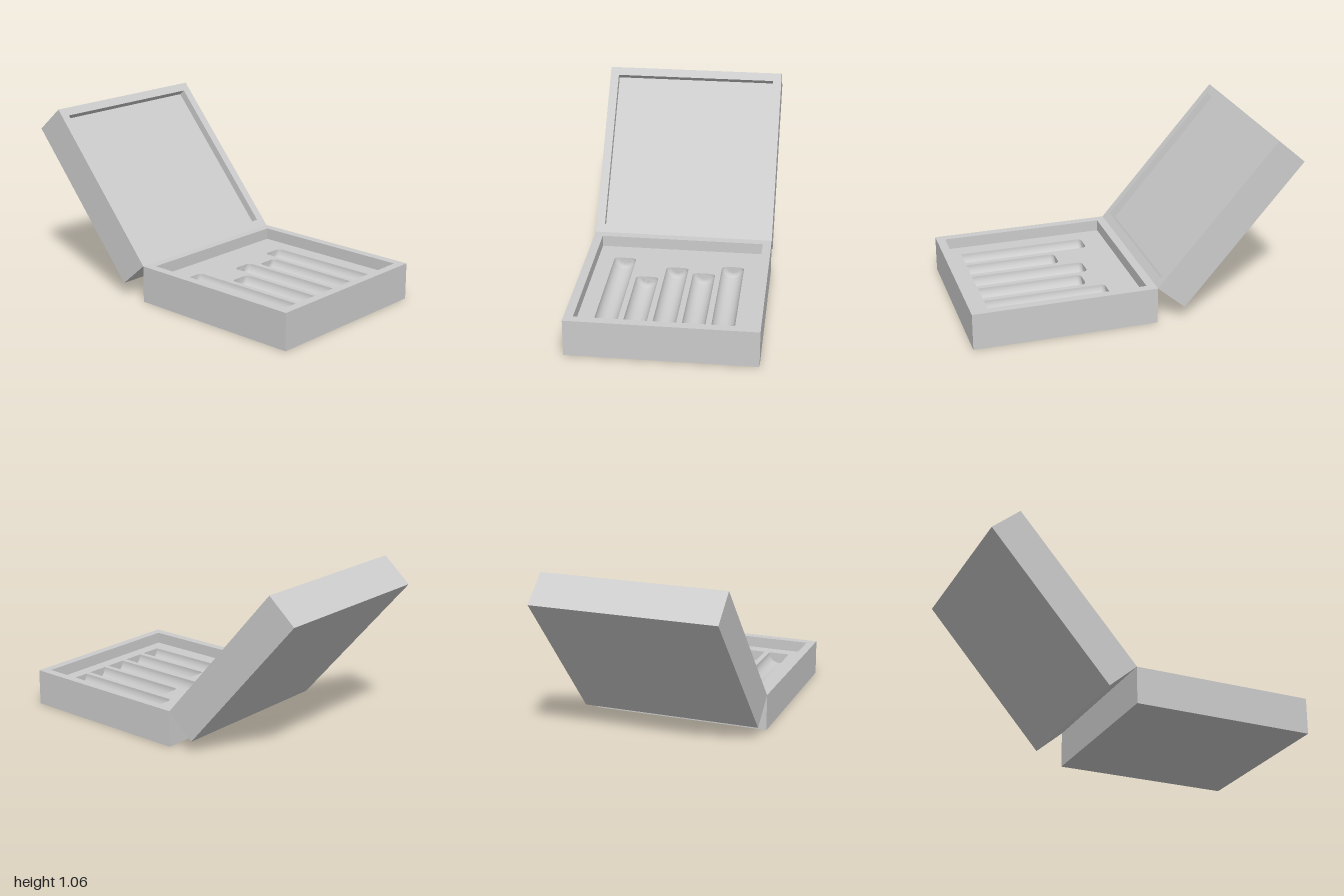
import * as THREE from 'three';
import { toCreasedNormals } from 'three/addons/utils/BufferGeometryUtils.js';

const HALF = 0.553;    // half side of the square box
const INNER = 0.5;     // half side of the recess
const HEIGHT = 0.2225; // height of each half
const FRONT = 1;       // z of the front face
const BACK = FRONT - 2 * HALF;
const MID = (FRONT + BACK) / 2;
const HINGE_ANGLE = THREE.MathUtils.degToRad(49.1);

// Slots: all start at the same front line, each with its own back end
const SLOT_FRONT = 0.87, SLOT_RADIUS = 0.067, SLOT_GAP = 0.167;
const SLOT_BACKS = [0.09, 0.314, 0.18, 0.236, 0.135];

const square = (half, Type = THREE.Shape) => new Type([
  new THREE.Vector2(-half, -half), new THREE.Vector2(half, -half),
  new THREE.Vector2(half, half), new THREE.Vector2(-half, half),
]);

// Horizontal slab from y0 to y1 (shape y points to -z)
function slab(name, shape, y0, y1, material) {
  const geometry = new THREE.ExtrudeGeometry(shape, { depth: y1 - y0, bevelEnabled: false });
  geometry.rotateX(-Math.PI / 2).translate(0, y0, 0);
  const mesh = new THREE.Mesh(geometry, material);
  mesh.name = name;
  return mesh;
}

function rim(name, y0, y1, material) {
  const shape = square(HALF);
  shape.holes.push(square(INNER, THREE.Path));
  return slab(name, shape, y0, y1, material);
}

// Half profile of a slot: flat front end, rounded-off back end
function slotProfile(back) {
  const f = MID - SLOT_FRONT, b = MID - back, r = SLOT_RADIUS;
  return [
    [0, f], [r, f], [r, b - 0.021], [r - 0.005, b - 0.011],
    [r - 0.014, b - 0.004], [r - 0.026, b], [0, b],
  ].map(([x, y]) => new THREE.Vector2(x, y));
}

export function createModel() {
  const model = new THREE.Group();
  model.name = 'presentationBox';
  const grey = new THREE.MeshStandardMaterial({ color: 0xcccccc });
  grey.name = 'light grey';

  // Base with a recessed insert
  const base = new THREE.Group();
  base.name = 'base';
  base.position.z = MID;
  const floorY = HEIGHT - 0.07, bottomY = 0.06;
  const insert = square(HALF);

  SLOT_BACKS.forEach((back, i) => {
    const x = (i - 2) * SLOT_GAP;
    const profile = slotProfile(back);
    // Opening in the insert
    const outline = [
      ...profile.slice(1, -1).map(p => new THREE.Vector2(x + p.x, p.y)),
      ...profile.slice(1, -1).reverse().map(p => new THREE.Vector2(x - p.x, p.y)),
    ];
    insert.holes.push(new THREE.Path(outline));
    // Half-round trough, facing inward
    const lathe = new THREE.LatheGeometry(profile.reverse(), 24, Math.PI / 2, Math.PI);
    lathe.rotateX(-Math.PI / 2);
    const trough = new THREE.Mesh(toCreasedNormals(lathe, 0.5), grey);
    trough.name = `slot${i + 1}`;
    trough.position.set(x, floorY, 0);
    base.add(trough);
  });

  base.add(
    slab('baseBottom', square(HALF), 0, bottomY, grey),
    slab('slotInsert', insert, bottomY, floorY, grey),
    rim('baseRim', floorY, HEIGHT, grey),
  );
  model.add(base);

  // Lid, opened backward around the top rear edge of the base
  const lid = new THREE.Group();
  lid.name = 'lid';
  lid.position.set(0, HEIGHT, BACK);
  lid.rotation.x = HINGE_ANGLE;
  const lidDepth = 0.045;
  const panel = slab('lidPanel', square(HALF), -HEIGHT, -lidDepth, grey);
  const lidRim = rim('lidRim', -lidDepth, 0, grey);
  panel.position.z = lidRim.position.z = -HALF;
  lid.add(panel, lidRim);
  model.add(lid);

  return model;
}
